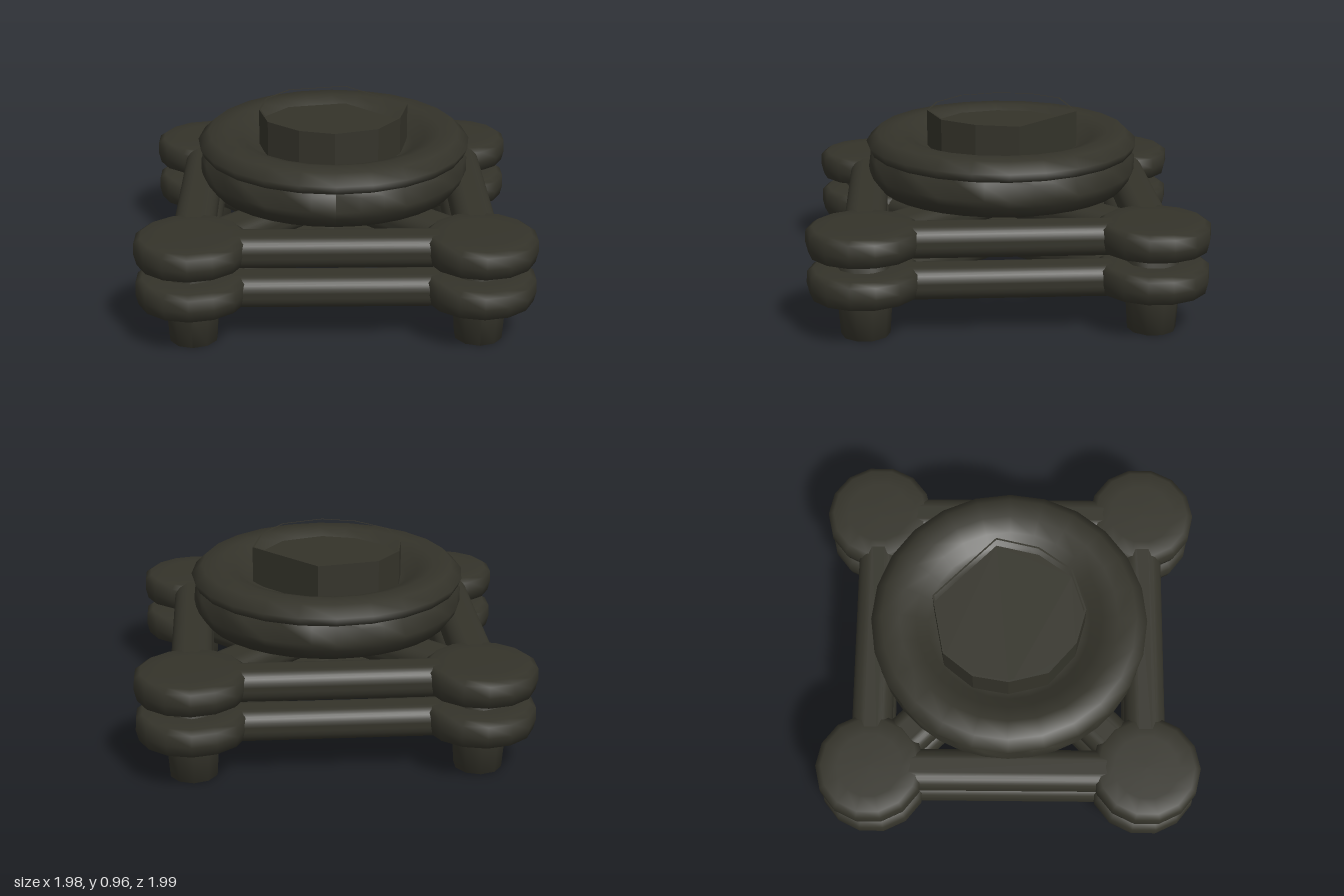
import * as THREE from 'three';
import { RoundedBoxGeometry } from 'three/addons/geometries/RoundedBoxGeometry.js';

const metal = new THREE.MeshStandardMaterial({ color: 0x34332a });
metal.name = 'dark olive metal';

const CORNER = 0.712; // corner post offset on x and z

function add(parent, name, geometry, x = 0, y = 0, z = 0) {
  const mesh = new THREE.Mesh(geometry, metal);
  mesh.name = name;
  mesh.position.set(x, y, z);
  parent.add(mesh);
  return mesh;
}

const lathe = (points, sides) =>
  new THREE.LatheGeometry(points.map(([r, y]) => new THREE.Vector2(r, y)), sides);

// Square frame with rounded pads, side rails and crossed braces
function buildFrame(name, y) {
  const frame = new THREE.Group();
  frame.name = name;
  frame.position.y = y;
  const pad = lathe([[0, -0.085], [0.14, -0.085], [0.22, -0.07], [0.27, -0.055], [0.283, 0],
    [0.28, 0.06], [0.25, 0.08], [0.17, 0.085], [0, 0.085]], 14);
  const rail = new RoundedBoxGeometry(1.4, 0.165, 0.21, 3, 0.07);
  const brace = new RoundedBoxGeometry(1.96, 0.15, 0.225, 3, 0.065);
  for (let i = 0; i < 4; i++) {
    const a = i * Math.PI / 2;
    add(frame, 'sideRail', rail, Math.sin(a) * CORNER, 0, Math.cos(a) * CORNER).rotation.y = a;
    const b = a + Math.PI / 4, d = CORNER * Math.SQRT2;
    add(frame, 'cornerPad', pad, Math.sin(b) * d, 0, Math.cos(b) * d);
  }
  for (const s of [-1, 1]) add(frame, 'crossBrace', brace).rotation.y = s * Math.PI / 4;
  return frame;
}

// Lower collar of the wheel with a row of small dents under its rim
function collarGeometry() {
  const sides = 36;
  const g = lathe([[0, 0.565], [0.645, 0.565], [0.685, 0.62], [0.7, 0.66], [0.7, 0.735], [0.66, 0.78]], sides);
  const p = g.attributes.position;
  for (let i = 0; i < p.count; i++) {
    const column = Math.floor(i / 6) % sides, row = i % 6;
    if (row === 4 && column % 3 === 0) {
      p.setXYZ(i, p.getX(i) * 0.95, p.getY(i), p.getZ(i) * 0.95);
    }
  }
  g.computeVertexNormals();
  return g;
}

// Irregular faceted outline of the hub, as x and z pairs
const hubOutline = [[0.07, -0.39], [0.39, -0.07], [0.34, 0.15], [0.22, 0.32], [0, 0.39],
  [-0.18, 0.34], [-0.34, 0.2], [-0.39, 0], [-0.36, -0.18], [-0.24, -0.33]];

function hubPiece(bottom, top, hollow) {
  const corners = (k) => hubOutline.map(([x, z]) => new THREE.Vector2(x * k, -z * k));
  const shape = new THREE.Shape(corners(1));
  if (hollow) shape.holes.push(new THREE.Path(corners(0.975)));
  const g = new THREE.ExtrudeGeometry(shape, { depth: top - bottom, bevelEnabled: false });
  return g.rotateX(-Math.PI / 2).translate(0, bottom, 0);
}

export function createModel() {
  const model = new THREE.Group();
  model.name = 'valveBase';

  // Stacked frames
  model.add(buildFrame('lowerFrame', 0.27), buildFrame('upperFrame', 0.482));

  // Tapered legs running up through both frames
  const leg = lathe([[0, 0], [0.122, 0], [0.135, 0.18], [0.138, 0.42], [0, 0.42]], 10);
  leg.computeVertexNormals();
  for (const x of [-1, 1]) for (const z of [-1, 1]) add(model, 'leg', leg, x * CORNER, 0, z * CORNER);

  // Wheel: dented collar, rounded rim ring and dished centre
  const wheel = new THREE.Group();
  wheel.name = 'wheel';
  model.add(wheel);
  add(wheel, 'collar', collarGeometry());
  add(wheel, 'rimRing', lathe([[0.6, 0.74], [0.69, 0.755], [0.71, 0.8], [0.655, 0.852], [0.56, 0.856],
    [0.48, 0.83], [0.42, 0.78], [0.36, 0.76], [0, 0.76]], 24));

  // Open hub cup in the middle
  add(wheel, 'hubBody', hubPiece(0.72, 0.86, false));
  add(wheel, 'hubRim', hubPiece(0.86, 0.96, true));
  return model;
}
